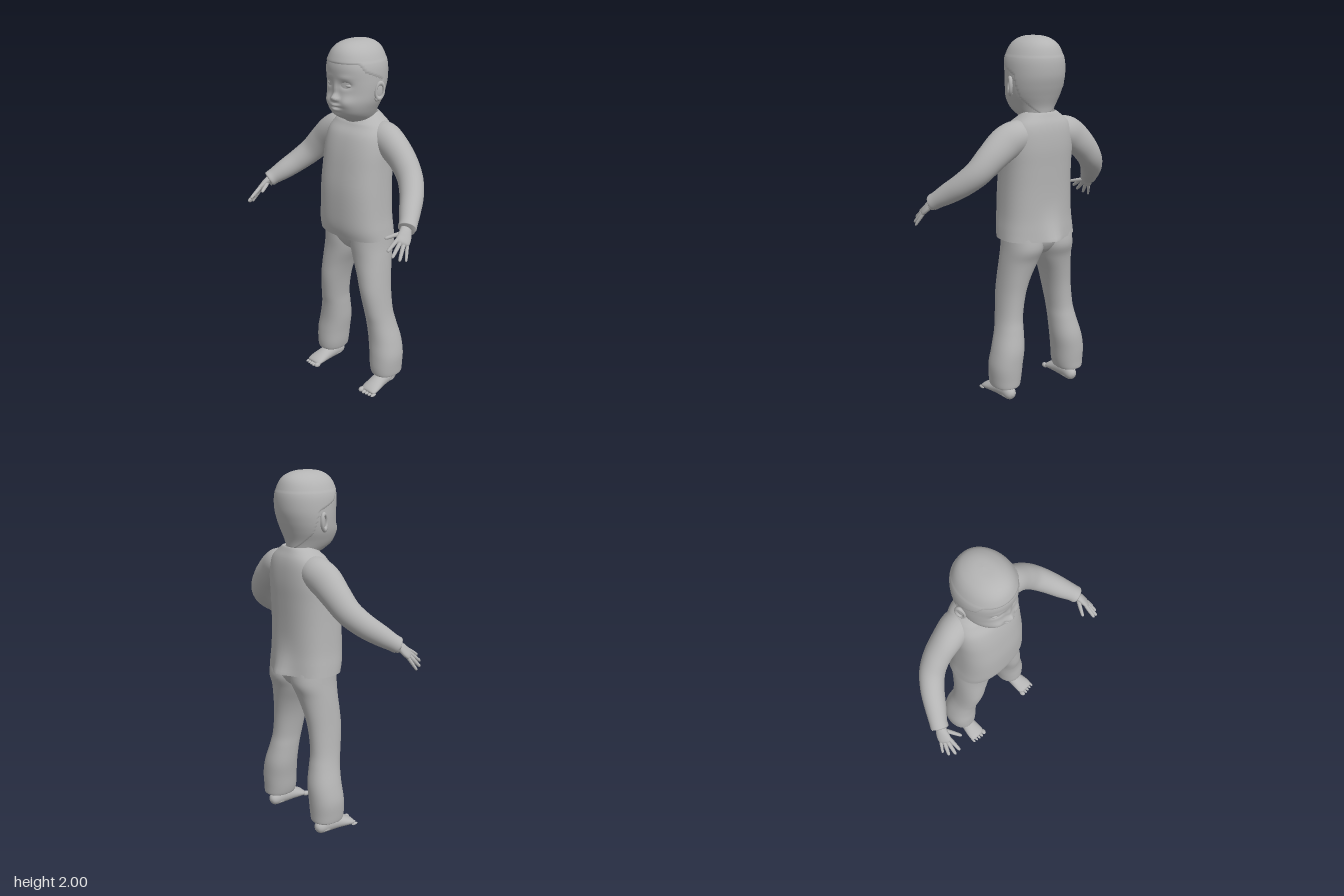
import * as THREE from 'three';

const grey = new THREE.MeshStandardMaterial({ color: 0xb4b4b4, side: THREE.DoubleSide });
grey.name = 'plain grey';

// Smooth interpolation through a table of equal-length rows, t in 0..1
function sample(rows, t) {
  const n = rows.length - 1, f = Math.min(t * n, n - 1e-6), i = Math.floor(f), u = f - i;
  const [a, b, c, d] = [i - 1, i, i + 1, i + 2].map(k => rows[Math.max(0, Math.min(n, k))]);
  return b.map((_, k) => b[k] + 0.5 * u * (c[k] - a[k] +
    u * (2 * a[k] - 5 * b[k] + 4 * c[k] - d[k] + u * (3 * (b[k] - c[k]) + d[k] - a[k]))));
}

// Closed-ring surface: point(t, angle) -> Vector3
function skin(point, steps, segs) {
  const pos = [], index = [];
  for (let i = 0; i <= steps; i++) {
    for (let j = 0; j < segs; j++) {
      pos.push(...point(i / steps, j / segs * Math.PI * 2).toArray());
      if (i === steps) continue;
      const a = i * segs + j, b = i * segs + (j + 1) % segs, c = a + segs, d = b + segs;
      index.push(a, c, b, b, c, d);
    }
  }
  const g = new THREE.BufferGeometry();
  g.setAttribute('position', new THREE.Float32BufferAttribute(pos, 3));
  g.setIndex(index);
  g.computeVertexNormals();
  return g;
}

// Stacked horizontal sections, rows of [y, x0, x1, z0, z1] from bottom to top
function loft(rows, { power = 2, steps = 48, segs = 48, mod = p => p } = {}) {
  const e = 2 / power, se = v => Math.sign(v) * Math.abs(v) ** e;
  return skin((t, a) => {
    const [y, x0, x1, z0, z1] = sample(rows, t);
    return mod(new THREE.Vector3((x0 + x1) / 2 + (x1 - x0) / 2 * se(Math.cos(a)), y,
      (z0 + z1) / 2 + (z1 - z0) / 2 * se(Math.sin(a))));
  }, steps, segs);
}
const even = rows => rows.map(([y, w, z0, z1]) => [y, -w, w, z0, z1]);

// Tapered limb, rows of [x, y, z, width, thickness]; ref is the width direction
function limb(rows, ref, steps = 24, segs = 24, mod = p => p) {
  const centre = t => new THREE.Vector3(...sample(rows, t).slice(0, 3));
  return skin((t, a) => {
    const tan = centre(Math.min(1, t + 0.01)).sub(centre(Math.max(0, t - 0.01))).normalize();
    const s = new THREE.Vector3(...ref).addScaledVector(tan, -tan.dot(new THREE.Vector3(...ref))).normalize();
    const u = s.clone().cross(tan), r = sample(rows, t);
    return mod(centre(t).addScaledVector(s, r[3] * Math.cos(a)).addScaledVector(u, r[4] * Math.sin(a)));
  }, steps, segs);
}

const blob = ([x, y, z], [a, b, c]) => new THREE.SphereGeometry(1, 24, 16).scale(a, b, c).translate(x, y, z);

function mirrored(g) {
  const m = g.clone().scale(-1, 1, 1), ix = m.index;
  for (let i = 0; i < ix.count; i += 3) {
    const k = ix.getX(i + 1);
    ix.setX(i + 1, ix.getX(i + 2));
    ix.setX(i + 2, k);
  }
  return m;
}

const headRows = even([
  [1.53, 0.075, -0.165, -0.02], [1.57, 0.08, -0.165, 0.0], [1.59, 0.092, -0.165, 0.04],
  [1.615, 0.108, -0.166, 0.078], [1.645, 0.123, -0.172, 0.097], [1.69, 0.141, -0.188, 0.101],
  [1.74, 0.15, -0.206, 0.097], [1.8, 0.153, -0.222, 0.1], [1.87, 0.148, -0.225, 0.106],
  [1.925, 0.128, -0.212, 0.092], [1.96, 0.103, -0.192, 0.07], [1.982, 0.072, -0.16, 0.038],
  [1.994, 0.04, -0.12, -0.005], [1.998, 0.001, -0.07, -0.068]]);

// Face relief: [x, y, push, spread x, spread y], applied on both sides
const relief = [
  [0, 1.714, 0.027, 0.017, 0.018], [0, 1.755, 0.01, 0.014, 0.03], [0.019, 1.707, 0.012, 0.01, 0.01],
  [0.06, 1.782, -0.016, 0.027, 0.016], [0.06, 1.822, 0.004, 0.035, 0.012], [0.068, 1.69, 0.012, 0.035, 0.032],
  [0, 1.675, 0.015, 0.027, 0.007], [0, 1.65, 0.012, 0.022, 0.008], [0, 1.662, -0.006, 0.035, 0.004],
  [0, 1.615, 0.008, 0.03, 0.016]];
function face(p) {
  if (p.z < 0) return p;
  let dz = 0;
  for (const [x, y, d, sx, sy] of relief) {
    dz += d * Math.exp(-(((Math.abs(p.x) - x) / sx) ** 2) - ((p.y - y) / sy) ** 2);
  }
  p.z += dz * Math.min(1, p.z / 0.04);
  return p;
}

// Hair shell stands proud above the hairline and sinks into the head below it
function hairline(z) {
  const pts = [[-0.16, 1.6], [-0.11, 1.68], [-0.085, 1.8], [0.02, 1.845], [0.045, 1.888], [0.2, 1.89]];
  const k = Math.max(1, pts.findIndex(q => q[0] > z));
  const [a, b] = [pts[k - 1], pts[k]];
  return a[1] + (b[1] - a[1]) * Math.max(0, (z - a[0]) / (b[0] - a[0]));
}
function hairShell(p) {
  const k = Math.max(0, Math.min(1, (p.y - hairline(p.z)) / 0.006));
  const s = 1 + (k * 0.06 - 0.035) * (p.y > 1.9 ? 0.6 : 1);
  return p.set(p.x * s, p.y + 0.004 * k - 0.002, (p.z + 0.06) * s - 0.06);
}

export function createModel() {
  const model = new THREE.Group();
  model.name = 'child';
  const add = (name, g) => {
    const m = new THREE.Mesh(g, grey);
    m.name = name;
    model.add(m);
  };
  const pair = (name, g) => {
    add('left' + name, g);
    add('right' + name, mirrored(g));
  };

  // Head
  add('head', loft(headRows, { power: 2.1, steps: 110, segs: 112, mod: face }));
  add('hair', loft(headRows, { power: 2.1, steps: 110, segs: 96, mod: hairShell }));
  pair('Eye', blob([0.061, 1.78, 0.066], [0.024, 0.012, 0.017]));
  const placeEar = g => g.scale(0.68, 1.2, 1).rotateZ(-0.12).rotateY(Math.PI / 2 - 0.4).translate(0.159, 1.747, -0.066);
  pair('EarRim', placeEar(new THREE.TorusGeometry(0.034, 0.01, 12, 32)));
  pair('EarBowl', placeEar(blob([0, 0, -0.006], [0.034, 0.034, 0.008])));
  pair('EarLobe', blob([0.15, 1.706, -0.055], [0.01, 0.015, 0.014]));

  // Shirt, with the back hem pulled out to a soft point
  add('shirt', loft(even([
    [0.925, 0.222, -0.225, 0.082], [0.98, 0.217, -0.222, 0.097], [1.06, 0.209, -0.218, 0.102],
    [1.2, 0.203, -0.218, 0.1], [1.32, 0.2, -0.222, 0.085], [1.42, 0.2, -0.226, 0.066],
    [1.5, 0.19, -0.222, 0.04], [1.55, 0.165, -0.212, 0.006], [1.585, 0.125, -0.196, -0.008],
    [1.61, 0.09, -0.182, -0.015], [1.6, 0.08, -0.172, -0.022]]), {
    power: 2.5, segs: 72, mod: p => {
      const low = Math.max(0, Math.min(1, (1.15 - p.y) / 0.22)) ** 2;
      if (p.z < -0.1) p.z -= 0.045 * low * Math.exp(-((p.x / 0.07) ** 2));
      if (p.y > 1.56 && p.z > -0.1) p.y -= 0.3 * (p.z + 0.1) * (p.y - 1.56) / 0.05;
      return p;
    } }));

  // Sleeves and cuffs
  pair('Sleeve', limb([
    [0.08, 1.49, -0.115, 0.07, 0.07], [0.15, 1.487, -0.115, 0.083, 0.087], [0.22, 1.455, -0.108, 0.08, 0.09],
    [0.3, 1.39, -0.102, 0.073, 0.08], [0.37, 1.315, -0.08, 0.068, 0.071], [0.43, 1.25, -0.025, 0.063, 0.064],
    [0.48, 1.195, 0.045, 0.056, 0.056], [0.515, 1.158, 0.095, 0.048, 0.046], [0.53, 1.14, 0.122, 0.047, 0.043],
    [0.528, 1.142, 0.118, 0.032, 0.03]], [0.6, 0, -0.8], 48, 32));

  // Hands: palm, four fingers and thumb
  const across = [0.6, -0.42, -0.68];
  pair('Palm', limb([
    [0.515, 1.155, 0.1, 0.029, 0.024], [0.532, 1.133, 0.133, 0.031, 0.021], [0.545, 1.105, 0.16, 0.038, 0.018],
    [0.552, 1.086, 0.182, 0.037, 0.014], [0.555, 1.077, 0.191, 0.02, 0.004]], across));
  const fingers = [
    [[0.532, 1.103, 0.195], [0.53, 1.057, 0.268]], [[0.546, 1.09, 0.19], [0.558, 1.03, 0.264]],
    [[0.558, 1.08, 0.178], [0.584, 1.012, 0.237]], [[0.567, 1.075, 0.16], [0.597, 1.003, 0.202]],
    [[0.518, 1.12, 0.15], [0.474, 1.1, 0.228]]];
  fingers.forEach(([a, b], i) => {
    const r = i === 3 ? 0.0085 : 0.0105;
    const rows = [[0, 1], [0.3, 1.05], [0.6, 0.95], [0.88, 0.8], [0.97, 0.5], [1, 0.02]].map(([t, k]) =>
      [...a.map((v, n) => v + (b[n] - v) * t), r * k, r * k]);
    pair(i === 4 ? 'Thumb' : 'Finger' + (i + 1), limb(rows, across, 16, 12));
  });

  // Trousers
  add('trouserSeat', loft(even([
    [0.815, 0.01, -0.1, -0.04], [0.835, 0.07, -0.155, 0.0], [0.87, 0.14, -0.19, 0.03],
    [0.92, 0.19, -0.21, 0.05], [1.0, 0.195, -0.205, 0.06]]), { power: 2.2 }));
  pair('TrouserLeg', loft([
    [0.1, 0.16, 0.285, -0.165, -0.02], [0.085, 0.146, 0.298, -0.182, 0.002], [0.13, 0.134, 0.304, -0.186, 0.01],
    [0.21, 0.125, 0.306, -0.19, 0.008], [0.3, 0.113, 0.288, -0.188, 0.003], [0.4, 0.108, 0.26, -0.168, 0.01],
    [0.48, 0.104, 0.244, -0.154, 0.025], [0.6, 0.084, 0.231, -0.155, 0.043], [0.7, 0.055, 0.222, -0.168, 0.044],
    [0.8, 0.012, 0.213, -0.19, 0.042], [0.88, -0.008, 0.205, -0.218, 0.046], [0.98, -0.01, 0.198, -0.205, 0.05]],
  { power: 2.2, steps: 60 }));

  // Feet and toes
  pair('Ankle', loft([
    [0.02, 0.182, 0.252, -0.155, -0.05], [0.06, 0.184, 0.254, -0.152, -0.03],
    [0.1, 0.186, 0.256, -0.145, -0.05], [0.2, 0.182, 0.26, -0.14, -0.05]], { steps: 12, segs: 32 }));
  pair('Foot', limb([
    [0.216, 0.032, -0.166, 0.002, 0.002], [0.216, 0.034, -0.158, 0.022, 0.024], [0.216, 0.038, -0.135, 0.034, 0.038],
    [0.217, 0.044, -0.09, 0.038, 0.045], [0.22, 0.04, -0.03, 0.043, 0.041], [0.225, 0.03, 0.025, 0.05, 0.03],
    [0.227, 0.022, 0.06, 0.051, 0.021], [0.227, 0.017, 0.078, 0.042, 0.012], [0.227, 0.016, 0.082, 0.01, 0.002]],
  [1, 0, 0], 36, 32, p => p.setY(Math.max(p.y, 0.001))));
  for (let i = 0; i < 5; i++) {
    const r = i ? 0.0105 - 0.0006 * i : 0.015;
    pair('Toe' + (i + 1), blob([0.187 + 0.0205 * i + (i ? 0.003 : 0), r, 0.083 - 0.0025 * Math.max(0, i - 1)],
      [r, r, 0.021]));
  }
  return model;
}
